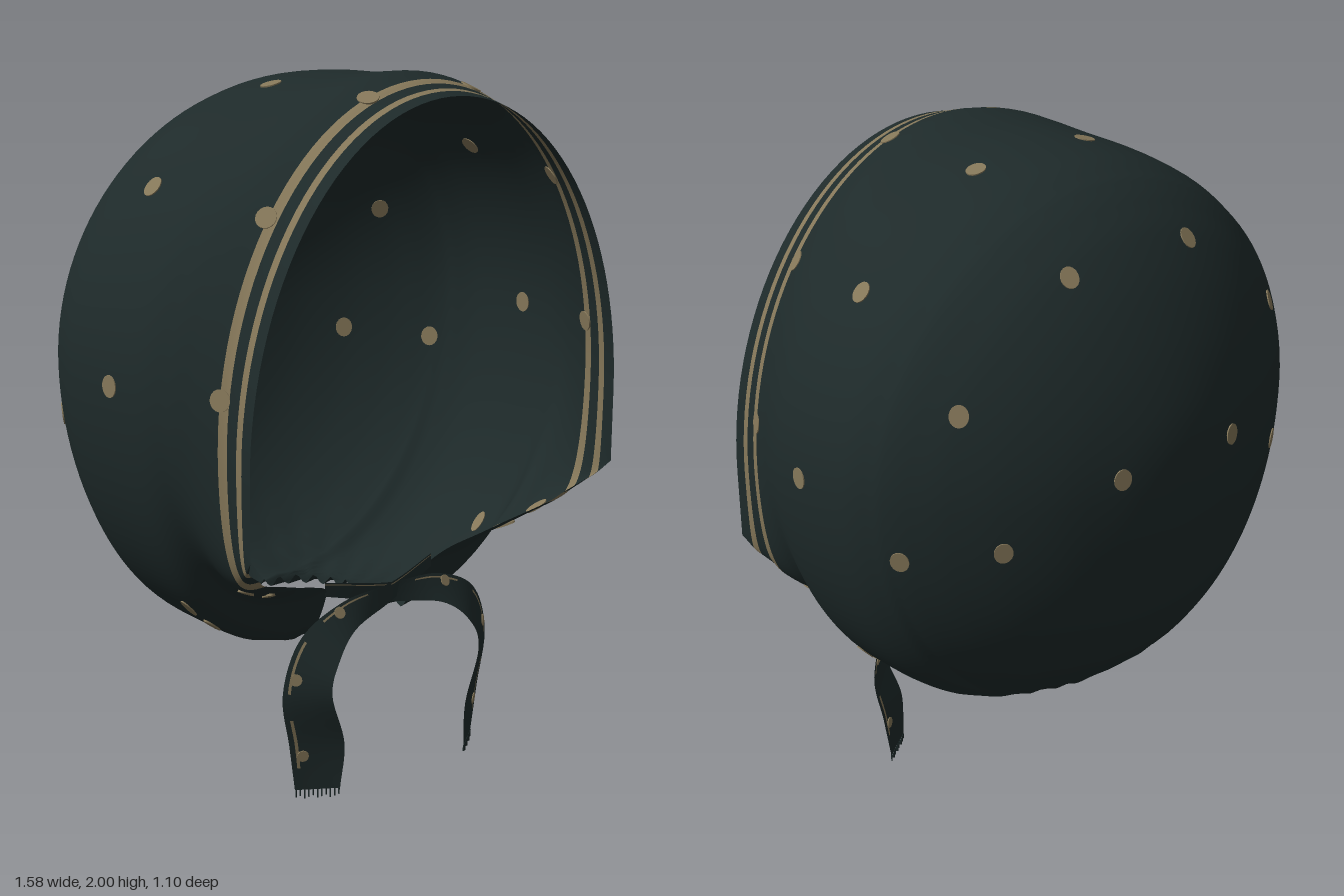
import * as THREE from 'three';

// Cloth sections from front rim to back: [z, halfWidth, topY, widestY, endX, endY]
const SECTIONS = [
  [0.545, 0.69, 1.95, 1.05, 0.69, 0.84],
  [0.51, 0.688, 1.96, 1.06, 0.665, 0.80],
  [0.49, 0.688, 1.965, 1.07, 0.64, 0.78],
  [0.457, 0.69, 1.975, 1.09, 0.585, 0.745],
  [0.43, 0.697, 1.985, 1.10, 0.54, 0.715],
  [0.36, 0.722, 2.0, 1.14, 0.38, 0.655],
  [0.29, 0.75, 1.995, 1.17, 0.20, 0.58],
  [0.20, 0.775, 1.985, 1.20, 0.19, 0.43],
  [0.05, 0.785, 1.98, 1.22, 0.20, 0.425],
  [-0.08, 0.776, 1.965, 1.23, 0.17, 0.425],
  [-0.16, 0.75, 1.94, 1.235, 0.10, 0.43],
  [-0.20, 0.73, 1.92, 1.235, 0, 0.435],
  [-0.25, 0.69, 1.885, 1.23, 0, 0.465],
  [-0.32, 0.62, 1.82, 1.23, 0, 0.52],
  [-0.40, 0.515, 1.71, 1.22, 0, 0.615],
  [-0.47, 0.385, 1.575, 1.21, 0, 0.745],
  [-0.52, 0.24, 1.44, 1.21, 0, 0.91],
  [-0.546, 0.125, 1.325, 1.20, 0, 1.05],
  [-0.556, 0, 1.20, 1.20, 0, 1.20],
];
const STEPS = 10, COLS = 120;

const spline = (points) => new THREE.CatmullRomCurve3(
  points.map((p) => new THREE.Vector3(...p)), false, 'catmullrom', 0.5);

// Grid of points to geometry; matOf(row, col) picks the material slot
function gridGeometry(rows, cols, pointAt, matOf) {
  const pos = [], lists = [[], []];
  for (let i = 0; i <= rows; i++)
    for (let j = 0; j <= cols; j++) pos.push(...pointAt(i, j));
  for (let i = 0; i < rows; i++)
    for (let j = 0; j < cols; j++) {
      const a = i * (cols + 1) + j, b = a + 1, c = a + cols + 1;
      lists[matOf(i, j)].push(a, c, b, b, c, c + 1);
    }
  const geo = new THREE.BufferGeometry();
  geo.setAttribute('position', new THREE.Float32BufferAttribute(pos, 3));
  geo.setIndex([...lists[0], ...lists[1]]);
  geo.addGroup(0, lists[0].length, 0);
  geo.addGroup(lists[0].length, lists[1].length, 1);
  geo.computeVertexNormals();
  return geo;
}

function hoodGeometry() {
  const curveA = spline(SECTIONS.map((s) => s.slice(0, 3)));
  const curveB = spline(SECTIONS.map((s) => s.slice(3)));
  const rows = (SECTIONS.length - 1) * STEPS;
  const point = (i, j) => {
    const { x: z, y: w, z: top } = curveA.getPoint(i / rows);
    const { x: mid, y: ex, z: ey } = curveB.getPoint(i / rows);
    const endX = Math.max(0, ex);
    const angle = -Math.PI / 2 + (2 * Math.PI * j) / COLS;
    const c = Math.cos(angle), s = Math.sin(angle);
    if (s >= 0) return [w * c, mid + (top - mid) * s, z];
    // Below the widest line the cloth runs in to the face edge or neck hole,
    // bulging more towards the front
    const side = j < COLS / 2 ? 1 : -1;
    const bulge = 0.93 - 0.4 * THREE.MathUtils.smoothstep(z, 0.2, 0.42);
    const x = side * (endX + (w - endX) * Math.pow(Math.abs(c), bulge));
    let y = mid + (mid - ey) * s;
    // Gathers radiating from the neck hole
    const d = Math.hypot(x / 0.2, (z - 0.04) / 0.24);
    const fade = Math.exp(-Math.max(0, d - 1) * 2.5) * THREE.MathUtils.smoothstep(1 - y, 0.2, 0.5);
    y += 0.014 * fade * Math.sin(26 * Math.atan2(z - 0.04, x));
    return [x, y, z];
  };
  // Two trim bands lie between sections 1-2 and 3-4
  const band = (i) => { const k = Math.floor(i / STEPS); return k === 1 || k === 3 ? 1 : 0; };
  return gridGeometry(rows, COLS, point, band);
}

// Tie ribbon: centre points and half-width vectors, ending in a fringe
function makeTie(name, side, lift, depth, mats) {
  const centre = spline([[-0.2, 0.585, 0.285], [0, 0.545, 0.33], [0.18, 0.522, 0.355],
    [0.3, 0.45, 0.368], [0.345, 0.33, 0.37], [0.307, 0.17, 0.368], [0.298, 0.03, 0.363]]);
  const half = spline([[0, 0.02, 0], [0, 0.028, 0], [0.008, 0.037, -0.018],
    [0.04, 0.035, -0.034], [0.055, 0.006, -0.04], [0.066, 0, -0.04], [0.052, 0, -0.036]]);
  const fractions = [-1, -0.5, 0, 0.5, 0.68, 0.8, 1];
  const at = (t, f) => {
    const p = centre.getPoint(t).addScaledVector(half.getPoint(t), f);
    return new THREE.Vector3(p.x * side, p.y + lift * t, p.z + depth * (1 - t));
  };
  const tie = new THREE.Group();
  tie.name = name;
  const ribbon = new THREE.Mesh(gridGeometry(48, 6,
    (i, j) => at(i / 48, fractions[j]).toArray(), (i, j) => (j === 4 && i % 12 < 8 ? 1 : 0)), mats);
  ribbon.name = 'ribbon';
  tie.add(ribbon);
  // Woven spots on the ribbon
  for (const t of [0.36, 0.62, 0.87]) {
    const across = at(t, 1).sub(at(t, -1)).normalize();
    const along = at(t + 0.02, 0).sub(at(t - 0.02, 0)).normalize();
    const spot = new THREE.Mesh(new THREE.CylinderGeometry(0.017, 0.017, 0.006, 12), mats[1]);
    spot.position.copy(at(t, 0.55));
    spot.quaternion.setFromUnitVectors(new THREE.Vector3(0, 1, 0), along.cross(across).normalize());
    spot.name = 'ribbonSpot';
    tie.add(spot);
  }
  // Fringe threads
  for (let k = 0; k < 11; k++) {
    const len = 0.018 + 0.008 * ((k * 7) % 3) / 2;
    const thread = new THREE.Mesh(new THREE.BoxGeometry(0.003, len, 0.003), mats[0]);
    thread.position.copy(at(1, -0.95 + k * 0.19));
    thread.position.y -= len / 2;
    thread.name = 'fringeThread';
    tie.add(thread);
  }
  return tie;
}

export function createModel() {
  const cloth = new THREE.MeshStandardMaterial({ color: 0x1e2a2a, side: THREE.DoubleSide });
  cloth.name = 'darkGreenCloth';
  const gold = new THREE.MeshStandardMaterial({ color: 0x857759, side: THREE.DoubleSide });
  gold.name = 'goldThread';
  const mats = [cloth, gold];

  const model = new THREE.Group();
  model.name = 'bonnet';
  const hood = new THREE.Mesh(hoodGeometry(), mats);
  hood.name = 'hood';
  model.add(hood);

  // Thin spot laid on the cloth where a ray from the middle meets it
  const ray = new THREE.Raycaster();
  const addSpot = (name, x, y, z, radius, stretch = 1) => {
    const from = new THREE.Vector3(0, Math.min(1.2, y + 0.3), z * 0.6);
    ray.set(from, new THREE.Vector3(x, y, z).sub(from).normalize());
    const hit = ray.intersectObject(hood)[0];
    if (!hit) return;
    const spot = new THREE.Mesh(new THREE.CylinderGeometry(radius, radius, 0.006, 18), gold);
    const normal = hit.face.normal;
    const up = new THREE.Vector3(0, 1, 0).projectOnPlane(normal).normalize();
    spot.quaternion.setFromRotationMatrix(
      new THREE.Matrix4().makeBasis(new THREE.Vector3().crossVectors(normal, up), normal, up));
    spot.scale.z = stretch;
    spot.position.copy(hit.point);
    spot.name = name;
    model.add(spot);
  };

  const dots = [[0.215, 1.78, -0.33], [0.57, 1.49, -0.31], [0.21, 1.27, -0.535], [0.5, 1.11, -0.4],
    [0.2, 1.98, 0.06], [0.59, 1.72, 0.05], [0.78, 1.23, 0.1], [0.71, 1.08, -0.22]];
  const scallops = [[0.19, 1.955, 0.432], [0.55, 1.7, 0.432], [0.69, 1.24, 0.432]];
  // Spots folded into the cloth near the chin and neck
  const folds = [[0.56, 0.69, 0.375], [0.46, 0.645, 0.345], [0.57, 0.58, 0.14], [0.5, 0.52, 0.155]];
  for (const side of [-1, 1]) {
    for (const [x, y, z] of dots) addSpot('dot', side * x, y, z, 0.026, 1.15);
    for (const [x, y, z] of scallops) addSpot('scallop', side * x, y, z, 0.029);
    for (const [x, y, z] of folds) addSpot('foldedSpot', side * x, y, z, 0.016, 2.2);
  }

  model.add(makeTie('leftTie', 1, -0.005, 0, mats));
  model.add(makeTie('rightTie', -1, 0.015, 0.014, mats));
  return model;
}
